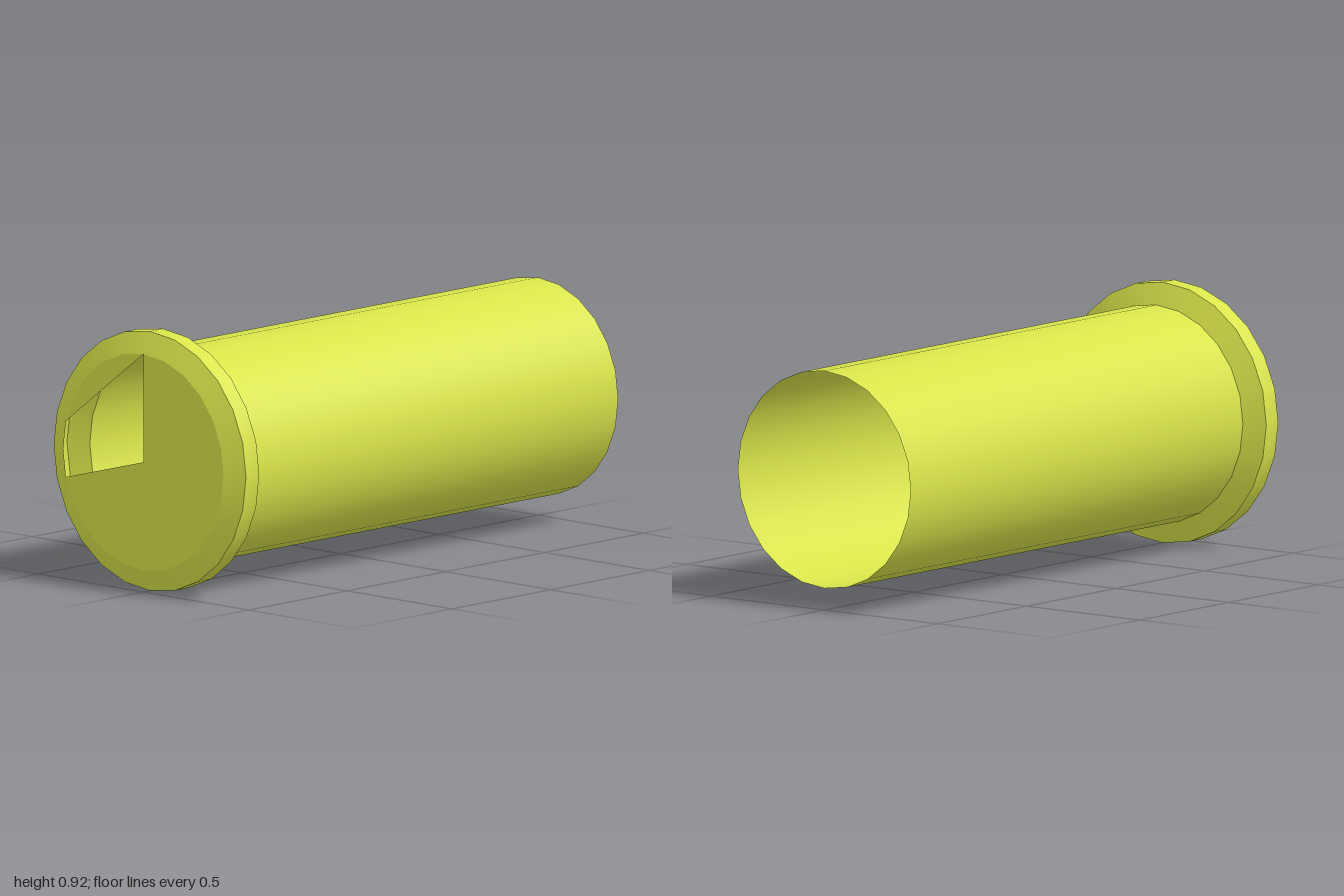
import * as THREE from 'three';
import { toCreasedNormals } from 'three/addons/utils/BufferGeometryUtils.js';

const SIDES = 24;
const TUBE_R = 0.382;
const RIM_R = 0.458;

export function createModel() {
  const group = new THREE.Group();
  group.name = 'flangedTube';
  const material = new THREE.MeshStandardMaterial({ color: 0xd8e44a, side: THREE.DoubleSide });

  function add(name, geometry) {
    const mesh = new THREE.Mesh(geometry, material);
    mesh.name = name;
    mesh.position.y = RIM_R;
    group.add(mesh);
  }

  // Thin shell turned around the z axis, from [radius, z] pairs
  function shell(profile) {
    const points = profile.map(([r, z]) => new THREE.Vector2(r, z));
    const geometry = new THREE.LatheGeometry(points, SIDES).rotateX(Math.PI / 2);
    return toCreasedNormals(geometry, 0.6);
  }

  // Long tube, open at the back
  add('tube', shell([[TUBE_R, -1], [TUBE_R, 0.865]]));

  // Hollow bevelled flange
  add('flange', shell([[TUBE_R, 0.865], [RIM_R, 0.9], [RIM_R, 0.967], [TUBE_R, 1]]));

  // Front cap with an angular opening
  const corner = (i) => {
    const a = (i / SIDES) * Math.PI * 2;
    return new THREE.Vector2(Math.cos(a) * TUBE_R, Math.sin(a) * TUBE_R);
  };
  // The opening touches the cap's edge, so the cap is a main sector plus a sliver
  const main = [new THREE.Vector2(0, 0)];
  for (let i = 13; i <= 30; i++) main.push(corner(i));
  const sliver = [];
  for (let i = 6; i <= 11; i++) sliver.push(corner(i));
  const cap = new THREE.ShapeGeometry([new THREE.Shape(main), new THREE.Shape(sliver)]);
  add('frontCap', cap.translate(0, 0, 1));

  return group;
}
